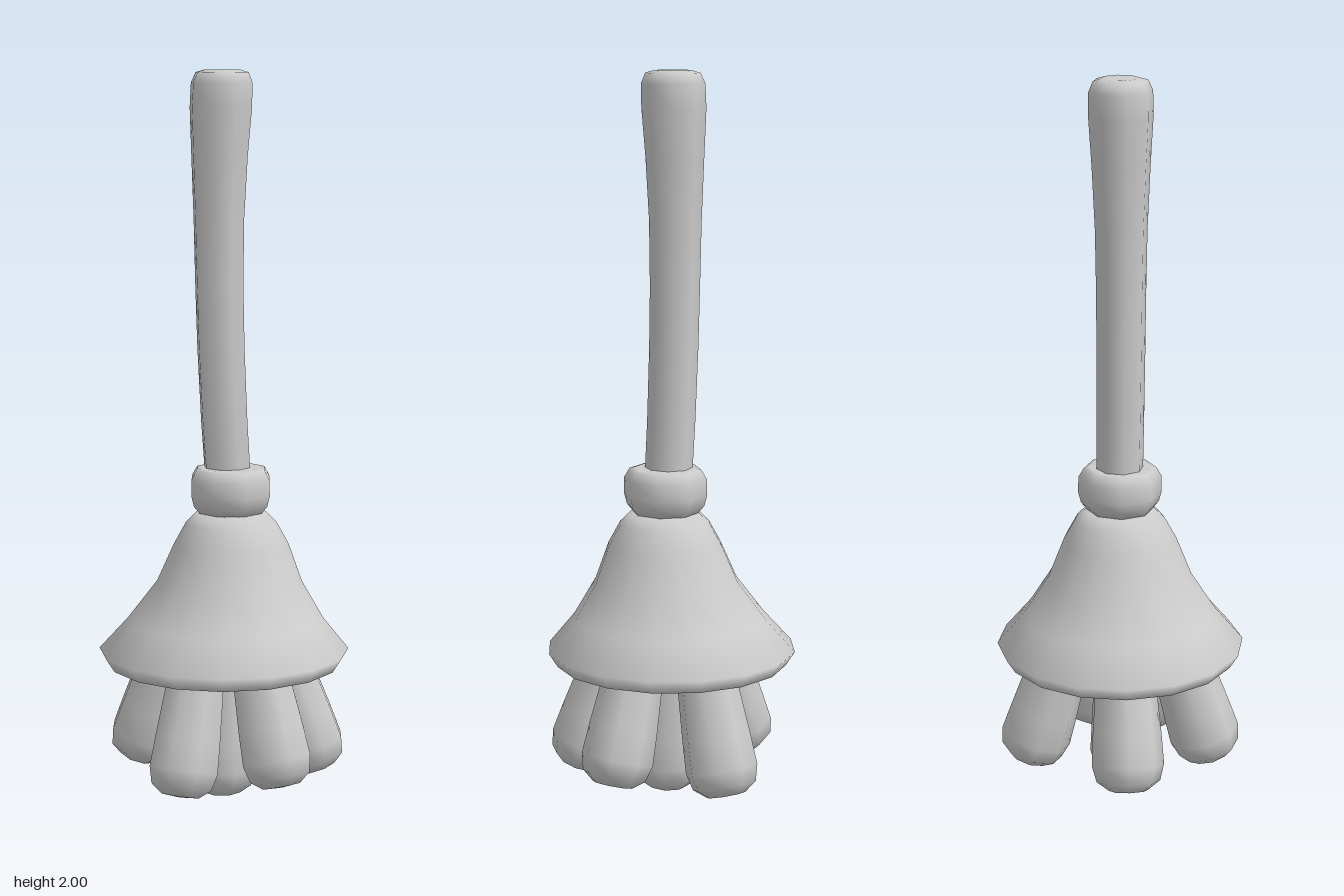
import * as THREE from 'three';

const material = new THREE.MeshStandardMaterial({ color: 0xcccccc });

// Lathe a [radius, y] profile (bottom to top) and slide each ring sideways by shiftX(y).
function turned(name, profile, sides, shiftX = () => 0) {
  const geometry = new THREE.LatheGeometry(profile.map(([r, y]) => new THREE.Vector2(r, y)), sides);
  const pos = geometry.attributes.position;
  for (let i = 0; i < pos.count; i++) pos.setX(i, pos.getX(i) + shiftX(pos.getY(i)));
  const mesh = new THREE.Mesh(geometry, material);
  mesh.name = name;
  return mesh;
}

// One blunt clump from its top centre down to its rounded lower end.
function bristle(top, bottom) {
  const axis = top.clone().sub(bottom);
  const length = axis.length();
  const mesh = turned('bristle', [
    [0, 0], [0.055, 0.005], [0.088, 0.03], [0.1, 0.075],
    [0.095, 0.16], [0.078, length],
  ], 8);
  mesh.position.copy(bottom);
  mesh.quaternion.setFromUnitVectors(new THREE.Vector3(0, 1, 0), axis.normalize());
  return mesh;
}

export function createModel() {
  const broom = new THREE.Group();
  broom.name = 'broom';

  // Slightly bowed handle, thicker towards the top
  const bow = (y) => {
    const t = (y - 0.88) / 1.12;
    return 0.012 - 0.085 * t + 0.068 * t * t;
  };
  const handle = turned('handle', [
    [0.065, 0.86], [0.066, 1.05], [0.067, 1.25], [0.068, 1.42], [0.071, 1.6],
    [0.079, 1.77], [0.087, 1.9], [0.086, 1.965], [0.074, 1.993], [0.05, 2], [0, 2],
  ], 8, bow);
  handle.rotation.y = 0.12;
  broom.add(handle);

  // Binding ring under the handle
  const collar = turned('collar', [
    [0, 0.795], [0.088, 0.795], [0.108, 0.82], [0.116, 0.85],
    [0.115, 0.895], [0.1, 0.92], [0.085, 0.924], [0, 0.924],
  ], 8);
  collar.position.x = 0.02;
  broom.add(collar);

  // Flared skirt, leaning a little towards the collar
  const lean = (y) => 0.022 * THREE.MathUtils.smoothstep(y, 0.41, 0.7);
  broom.add(turned('skirt', [
    [0, 0.372], [0.3, 0.372], [0.322, 0.374], [0.346, 0.412], [0.27, 0.5], [0.2, 0.605],
    [0.158, 0.71], [0.125, 0.77], [0.095, 0.8], [0, 0.805],
  ], 16, lean));

  // Ring of splayed clumps: [angle in degrees from +x towards +z, lower end height]
  const bristles = new THREE.Group();
  bristles.name = 'bristles';
  const ring = [[94, 0.035], [30, 0.055], [-16, 0.055], [-89, 0.03], [178, 0.05]];
  for (const [degrees, low] of ring) {
    const a = THREE.MathUtils.degToRad(degrees);
    const at = (r, y) => new THREE.Vector3(r * Math.cos(a), y, r * Math.sin(a));
    bristles.add(bristle(at(0.15, 0.42), at(0.262, low + 0.02)));
  }

  // Upright clump in the middle
  bristles.add(bristle(new THREE.Vector3(0, 0.42, 0.01), new THREE.Vector3(0, 0, 0.015)));
  broom.add(bristles);

  return broom;
}
